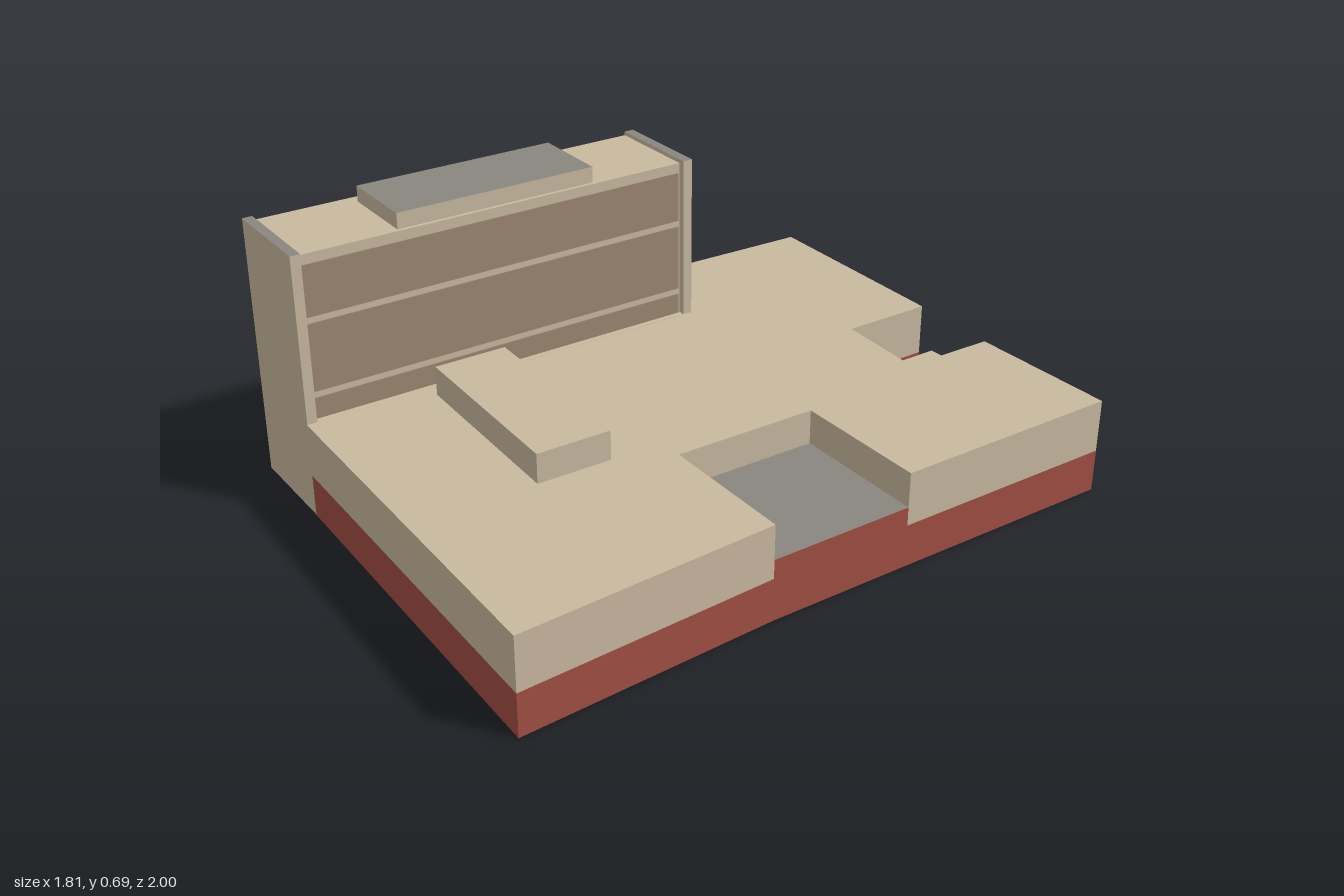
import * as THREE from 'three';

const material = (name, color) => {
  const m = new THREE.MeshStandardMaterial({ color });
  m.name = name;
  return m;
};

export function createModel() {
  const model = new THREE.Group();
  model.name = 'building';
  const tan = material('tan wall', 0xc8b89f);
  const red = material('red brick', 0xa04e43);
  const grey = material('grey roof', 0x8a867f);
  const glass = material('brown window', 0x9c8772);

  // Upright prism over a ground plan of [x, z] points
  function prism(name, plan, y0, y1, mat) {
    const shape = new THREE.Shape(plan.map(([x, z]) => new THREE.Vector2(x, -z)));
    const geo = new THREE.ExtrudeGeometry(shape, { depth: y1 - y0, bevelEnabled: false });
    geo.rotateX(-Math.PI / 2).translate(0, y0, 0);
    const mesh = new THREE.Mesh(geo, mat);
    mesh.name = name;
    model.add(mesh);
  }

  // Box given by its limits on each axis, with an optional other top colour
  function box(parent, name, [x0, x1], [y0, y1], [z0, z1], side, top = side) {
    const geo = new THREE.BoxGeometry(x1 - x0, y1 - y0, z1 - z0);
    geo.translate((x0 + x1) / 2, (y0 + y1) / 2, (z0 + z1) / 2);
    const mesh = new THREE.Mesh(geo, top === side ? side : [side, side, top, side, side, side]);
    mesh.name = name;
    parent.add(mesh);
  }

  // Podium plan: back edge with its notch, right edge, front edge, tower line
  const back = [[-0.402, -0.548], [-0.148, -0.998], [0.348, -0.733], [0.238, -0.521], [0.418, -0.416],
    [0.461, -0.5], [0.492, -0.486], [0.56, -0.611], [0.908, -0.436]];
  const front = [[0.19, 0.998], [-0.667, 0.529], [-0.169, -0.42]];
  const bay = [[0.632, 0.087], [0.323, -0.074], [0.148, 0.251], [0.46, 0.415]];
  prism('podiumBase', [...back, bay[0], bay[3], ...front], 0, 0.107, red);
  prism('podiumUpper', [...back, ...bay, ...front], 0.107, 0.241, tan);

  // Low roof set into the right side of the podium
  prism('entranceBay', bay, 0.107, 0.15, red);
  prism('entranceRoof', bay, 0.15, 0.154, [grey, red]);

  // Low block on the podium roof
  prism('podiumRoofBlock', [[-0.39, 0.103], [0.026, 0.341], [-0.063, 0.505], [-0.489, 0.267]]
    .map(([x, z], i) => (i === 0 ? [-0.402, 0.103] : [x, z])), 0.241, 0.315, tan);

  // Tower, built square and turned to the podium
  const tower = new THREE.Group();
  tower.name = 'tower';
  tower.position.set(-0.537, 0, -0.009);
  tower.rotation.y = -0.482;
  model.add(tower);
  const W = 0.134, L = 0.536, fin = 0.025, face = W - 0.018;
  box(tower, 'towerFoot', [-W, W], [0, 0.241], [-L + fin, L - fin], tan);
  box(tower, 'towerCore', [-W, face], [0.241, 0.65], [-L + fin, L - fin], tan);
  for (const s of [-1, 1]) {
    const z = [s * L, s * (L - fin)].sort((a, b) => a - b);
    box(tower, 'endWall', [-W, W], [0, 0.66], z, tan, grey);
  }

  // Window bands on both long faces
  const floors = [[0.497, 0.625], [0.31, 0.481], [0.12, 0.294]];
  floors.forEach(([y0, y1]) => {
    box(tower, 'frontWindows', [face, face + 0.003], [Math.max(y0, 0.241), y1], [-L + 0.03, L - 0.03], glass);
    box(tower, 'backWindows', [-W - 0.003, -W], [y0, y1], [-L + 0.03, L - 0.03], glass);
  });

  // Plant room on the tower roof
  box(tower, 'plantRoom', [-0.102, 0.106], [0.65, 0.69], [-0.262, 0.262], tan, grey);

  return model;
}
